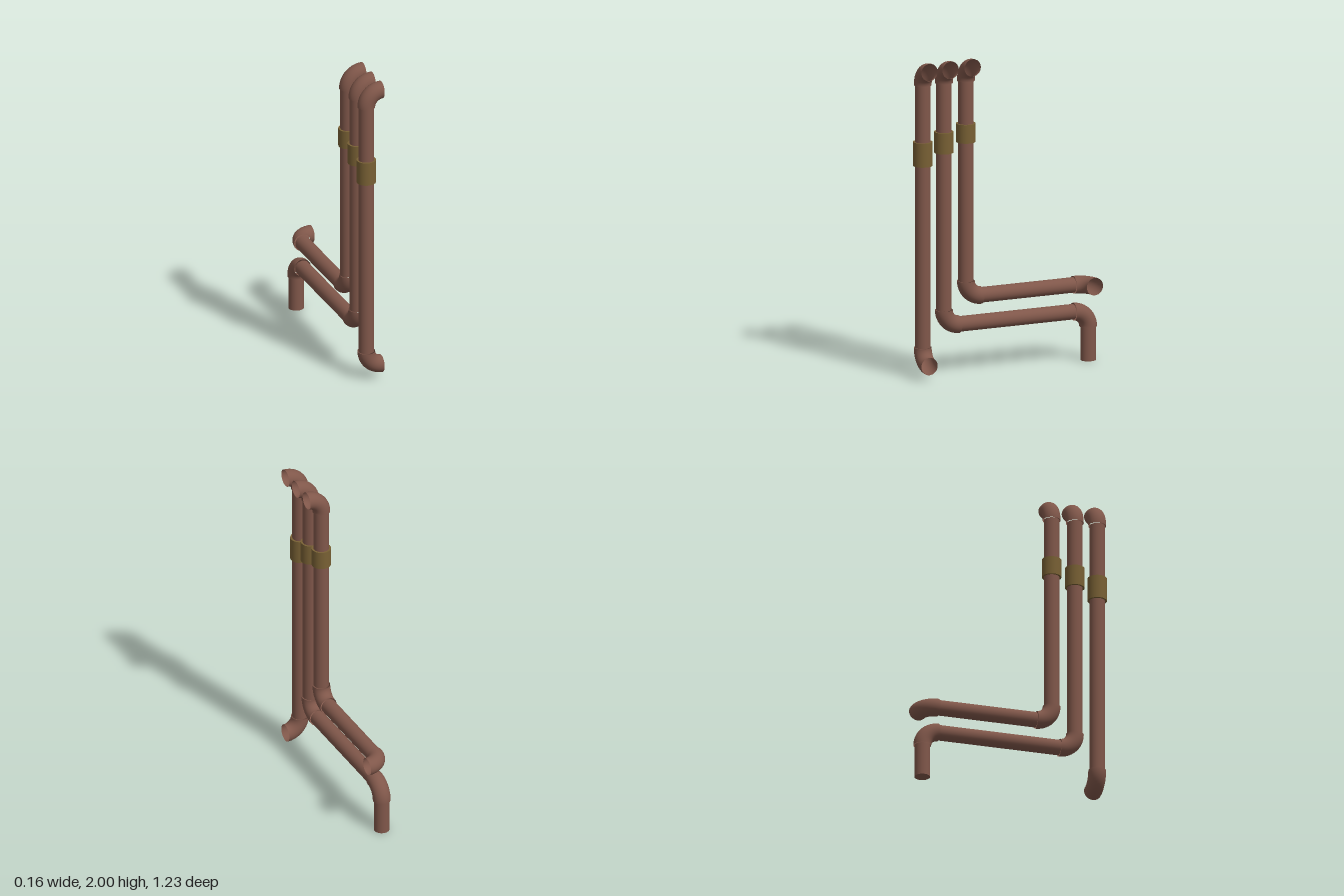
import * as THREE from 'three';

const PIPE_R = 0.048, ELBOW_R = 0.055, SLEEVE_R = 0.06, BEND = 0.1;
const X = -0.022; // axis of all upright pipes

export function createModel() {
  const model = new THREE.Group();
  const brown = new THREE.MeshStandardMaterial({ color: 0x80574a, side: THREE.DoubleSide });
  const brass = new THREE.MeshStandardMaterial({ color: 0x786034 });
  const v = (x, y, z) => new THREE.Vector3(x, y, z);
  const UP = v(0, 1, 0), DOWN = v(0, -1, 0), OUT = v(1, 0, 0), BACK = v(0, 0, -1);

  function add(parent, name, geometry, material) {
    const mesh = new THREE.Mesh(geometry, material);
    mesh.name = name;
    parent.add(mesh);
    return mesh;
  }

  // Straight round length between two points
  function straight(parent, name, a, b, radius = PIPE_R, material = brown) {
    const dir = b.clone().sub(a);
    const mesh = add(parent, name, new THREE.CylinderGeometry(radius, radius, dir.length(), 32), material);
    mesh.position.copy(a).add(b).multiplyScalar(0.5);
    mesh.quaternion.setFromUnitVectors(UP, dir.normalize());
  }

  // Open quarter-circle elbow around a corner, entering along d1 and leaving along d2
  function elbow(parent, name, corner, d1, d2) {
    const centre = corner.clone().addScaledVector(d1, -BEND).addScaledVector(d2, BEND);
    const arc = new THREE.Curve();
    arc.getPoint = (t, target = new THREE.Vector3()) => target.copy(centre)
      .addScaledVector(d2, -BEND * Math.cos(t * Math.PI / 2))
      .addScaledVector(d1, BEND * Math.sin(t * Math.PI / 2));
    add(parent, name, new THREE.TubeGeometry(arc, 16, ELBOW_R, 32, false), brown);
  }

  // Each run: depth of the riser, height of its lower corner, sleeve span
  const runs = [
    { name: 'frontPipe', z: 0.557, low: 0.09, sleeve: [1.337, 1.488] },
    { name: 'middlePipe', z: 0.414, low: 0.313, sleeve: [1.406, 1.538], end: DOWN },
    { name: 'backPipe', z: 0.265, low: 0.482, sleeve: [1.459, 1.576], end: OUT },
  ];
  const topY = 1.945, backZ = -0.562;

  for (const { name, z, low, sleeve, end } of runs) {
    const run = new THREE.Group();
    run.name = name;
    model.add(run);

    // Riser with top elbow and brass sleeve
    straight(run, 'riser', v(X, low + BEND, z), v(X, topY - BEND, z));
    elbow(run, 'topElbow', v(X, topY, z), UP, OUT);
    straight(run, 'sleeve', v(X, sleeve[0], z), v(X, sleeve[1], z), SLEEVE_R, brass);

    // Lower elbow, turning sideways or into a horizontal length
    elbow(run, 'lowerElbow', v(X, low, z), DOWN, end ? BACK : OUT);
    if (end) {
      straight(run, 'horizontalPipe', v(X, low, z - BEND), v(X, low, backZ + BEND));
      elbow(run, 'endElbow', v(X, low, backZ), BACK, end);
    }
    if (end === DOWN) straight(run, 'drop', v(X, low - BEND, backZ), v(X, 0, backZ));
  }
  return model;
}
